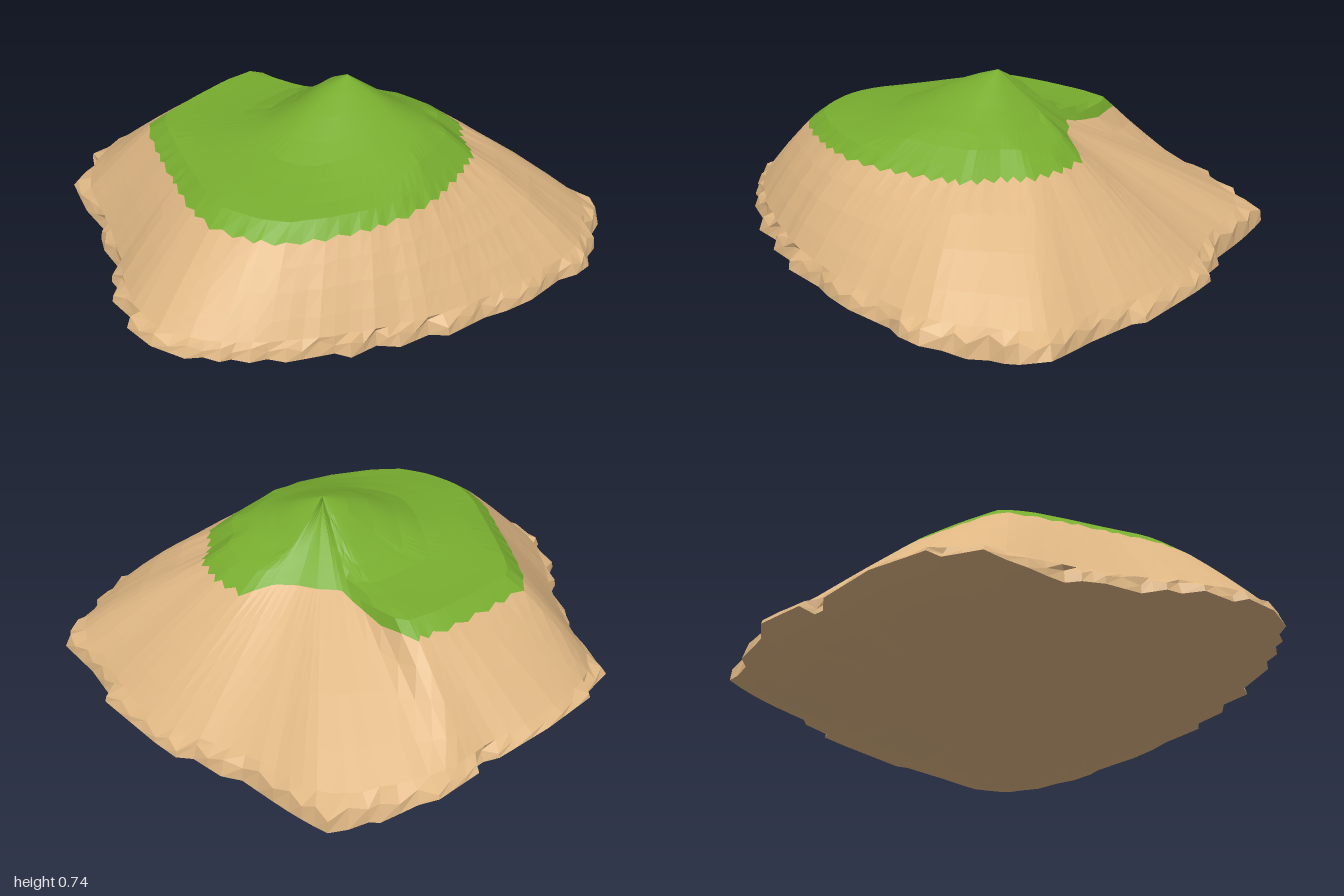
import * as THREE from 'three';

// Shoreline and grass border as (x, z) pairs, clockwise seen from above
const SHORE = [
  -0.12, -0.99, 0, -1, 0.33, -1, 0.36, -0.96, 0.55, -0.92, 0.76, -0.91, 0.83, -0.83, 0.85, -0.72,
  0.91, -0.67, 0.93, -0.58, 0.975, -0.52, 0.975, -0.43, 0.94, -0.36, 0.94, -0.17, 0.91, -0.05,
  0.87, 0.04, 0.84, 0.22, 0.78, 0.26, 0.75, 0.39, 0.68, 0.44, 0.66, 0.56, 0.6, 0.58, 0.51, 0.74,
  0.45, 0.77, 0.42, 0.83, 0.36, 0.86, 0.34, 0.9, 0.28, 0.92, 0.24, 0.97, 0.1, 1, -0.04, 0.98,
  -0.06, 0.93, -0.2, 0.9, -0.24, 0.83, -0.3, 0.81, -0.34, 0.73, -0.48, 0.68, -0.55, 0.63,
  -0.58, 0.58, -0.73, 0.54, -0.88, 0.47, -0.92, 0.32, -0.96, 0.29, -0.98, 0.05, -0.96, -0.18,
  -0.92, -0.22, -0.92, -0.26, -0.97, -0.29, -0.97, -0.48, -0.92, -0.53, -0.88, -0.67,
  -0.84, -0.69, -0.79, -0.83, -0.6, -0.85, -0.36, -0.87, -0.3, -0.92, -0.16, -0.94,
];
const GRASS = [
  0.05, -0.52, 0.2, -0.535, 0.34, -0.5, 0.4, -0.42, 0.51, -0.35, 0.56, -0.18, 0.59, 0, 0.58, 0.15,
  0.53, 0.3, 0.45, 0.45, 0.36, 0.57, 0.25, 0.63, 0.1, 0.66, -0.05, 0.62, -0.2, 0.54, -0.35, 0.46,
  -0.5, 0.37, -0.59, 0.3, -0.6, 0.1, -0.6, -0.1, -0.57, -0.26, -0.2, -0.27, -0.14, -0.33,
  -0.07, -0.37, -0.01, -0.43,
];
const PEAK = new THREE.Vector3(0.06, 0.745, -0.14);

// Hill heights at these distances from the peak, one row per direction
const DISTANCE = [0, 0.1, 0.2, 0.3, 0.4, 0.55, 0.7, 0.85];
const HILL = {
  right: [0.745, 0.7, 0.65, 0.605, 0.575, 0.505, 0.48, 0.48],
  front: [0.745, 0.71, 0.67, 0.62, 0.575, 0.55, 0.53, 0.49],
  back: [0.745, 0.665, 0.585, 0.54, 0.5, 0.48, 0.48, 0.48],
  left: [0.745, 0.69, 0.6, 0.545, 0.53, 0.52, 0.515, 0.51],
};

// Blends the two nearest hill profiles for a direction
function hillY(dx, dz, d) {
  let k = 1;
  while (k < DISTANCE.length - 1 && d > DISTANCE[k]) k++;
  const t = Math.min(1, (d - DISTANCE[k - 1]) / (DISTANCE[k] - DISTANCE[k - 1]));
  const at = (row) => THREE.MathUtils.lerp(row[k - 1], row[k], t);
  return dx * dx * at(dx > 0 ? HILL.right : HILL.left) + dz * dz * at(dz > 0 ? HILL.front : HILL.back);
}

const toPoints = (a) => Array.from({ length: a.length / 2 }, (_, i) => new THREE.Vector2(a[2 * i], a[2 * i + 1]));

// Splits long edges so the facets stay of similar size
function subdivide(points, maxLength) {
  return points.flatMap((p, i) => {
    const q = points[(i + 1) % points.length];
    const n = Math.ceil(p.distanceTo(q) / maxLength);
    return Array.from({ length: n }, (_, k) => p.clone().lerp(q, k / n));
  });
}

// Distance from the peak to a closed border along a direction
function reach(points, dx, dz) {
  let best = 0;
  points.forEach((p, i) => {
    const q = points[(i + 1) % points.length];
    const ex = q.x - p.x, ez = q.y - p.y, px = p.x - PEAK.x, pz = p.y - PEAK.z;
    const den = dx * ez - dz * ex;
    if (Math.abs(den) < 1e-9) return;
    const r = (px * ez - pz * ex) / den, s = (px * dz - pz * dx) / den;
    if (s >= -1e-6 && s <= 1 + 1e-6 && r > best) best = r;
  });
  return best;
}

// Joins rings running from the inside/top to the outside/bottom
function loft(rings) {
  const n = rings[0].length;
  const index = [];
  for (let r = 0; r < rings.length - 1; r++) {
    for (let i = 0; i < n; i++) {
      const j = (i + 1) % n, a = r * n, b = a + n;
      index.push(a + i, a + j, b + j, a + i, b + j, b + i);
    }
  }
  const geometry = new THREE.BufferGeometry().setFromPoints(rings.flat());
  geometry.setIndex(index);
  const flat = geometry.toNonIndexed();
  flat.computeVertexNormals();
  return flat;
}

export function createModel() {
  const sand = new THREE.MeshStandardMaterial({ color: 0xdeb683, flatShading: true });
  sand.name = 'sand';
  const grass = new THREE.MeshStandardMaterial({ color: 0x78ad2f, flatShading: true });
  grass.name = 'grass';

  const shore = subdivide(toPoints(SHORE), 0.085);
  const border = toPoints(GRASS);
  const n = shore.length;

  // Underside tilts up towards the front and curls up at the sides and back
  const floorY = (x, z) =>
    Math.max(0, 0.06 + 0.08 * z) + (x < 0 ? 0.11 : 0.05) * x ** 6 + 0.2 * Math.max(0, -0.75 - z);
  const under = [1, 0.92, 0.8, 0.6, 0.3, 0].map((s) => shore.map((p) =>
    new THREE.Vector3(p.x * s, floorY(p.x * s, p.y * s), p.y * s)));

  // Ragged top of the shore rim
  const rimTop = shore.map((p, i) => {
    const s = i % 2 ? 0.98 : 0.995;
    const y = 0.122 + 0.045 * p.y + (p.x < 0 ? 0.035 * p.x ** 6 : 0) + (i % 2 ? 0.015 : -0.005);
    return new THREE.Vector3(p.x * s, Math.max(y, floorY(p.x, p.y) + 0.015), p.y * s);
  });
  // Shore smoothed along its length, guiding the slope
  const smoothRim = rimTop.map((_, i) => {
    const v = new THREE.Vector3();
    for (let k = -2; k <= 2; k++) v.add(rimTop[(i + k + n) % n]);
    return v.multiplyScalar(0.2);
  });

  // Directions from the peak through each shore point, with the grass edge height
  const rays = shore.map((p) => {
    const d = new THREE.Vector2(p.x - PEAK.x, p.y - PEAK.z).normalize();
    const r = reach(border, d.x, d.y);
    const y = 0.475 + 0.03 * THREE.MathUtils.clamp((0.38 - r) / 0.08, 0, 1);
    return { dx: d.x, dz: d.y, r, y };
  });
  // Grass edge, ragged except where it cuts in close behind the hill
  const edge = rays.map(({ dx, dz, r, y }, i) =>
    new THREE.Vector3(PEAK.x + dx * r, y, PEAK.z + dz * r)
      .lerp(smoothRim[i], i % 2 && r > 0.38 ? 0.04 : 0));

  // Hill and plateau, rounded down to the grass edge
  const steps = [0, 0.13, 0.26, 0.4, 0.53, 0.66, 0.8, 0.92];
  const hill = steps.map((t) => rays.map(({ dx, dz, r, y }) => {
    const d = r * t;
    const height = Math.min(hillY(dx, dz, d), y + 0.8 * (r - d));
    return new THREE.Vector3(PEAK.x + dx * d, Math.max(height, y + 0.004), PEAK.z + dz * d);
  }));

  // Sandy slope, bulging a little more on the left side of the island
  const slope = [0.25, 0.5, 0.75, 0.93].map((t) => edge.map((e, i) => {
    const v = e.clone().lerp(smoothRim[i], t);
    v.y += (0.006 + 0.02 * Math.max(0, rays[i].dx)) * Math.sin(Math.PI * t);
    return v;
  }));

  const group = new THREE.Group();
  group.name = 'island';
  const add = (name, rings, material) => {
    const mesh = new THREE.Mesh(loft(rings), material);
    mesh.name = name;
    group.add(mesh);
  };
  add('grassyHill', [...hill, edge], grass);
  add('sandySlope', [edge, ...slope, rimTop], sand);
  add('shoreRim', [rimTop, under[0]], sand);
  add('underside', under, sand);
  return group;
}
